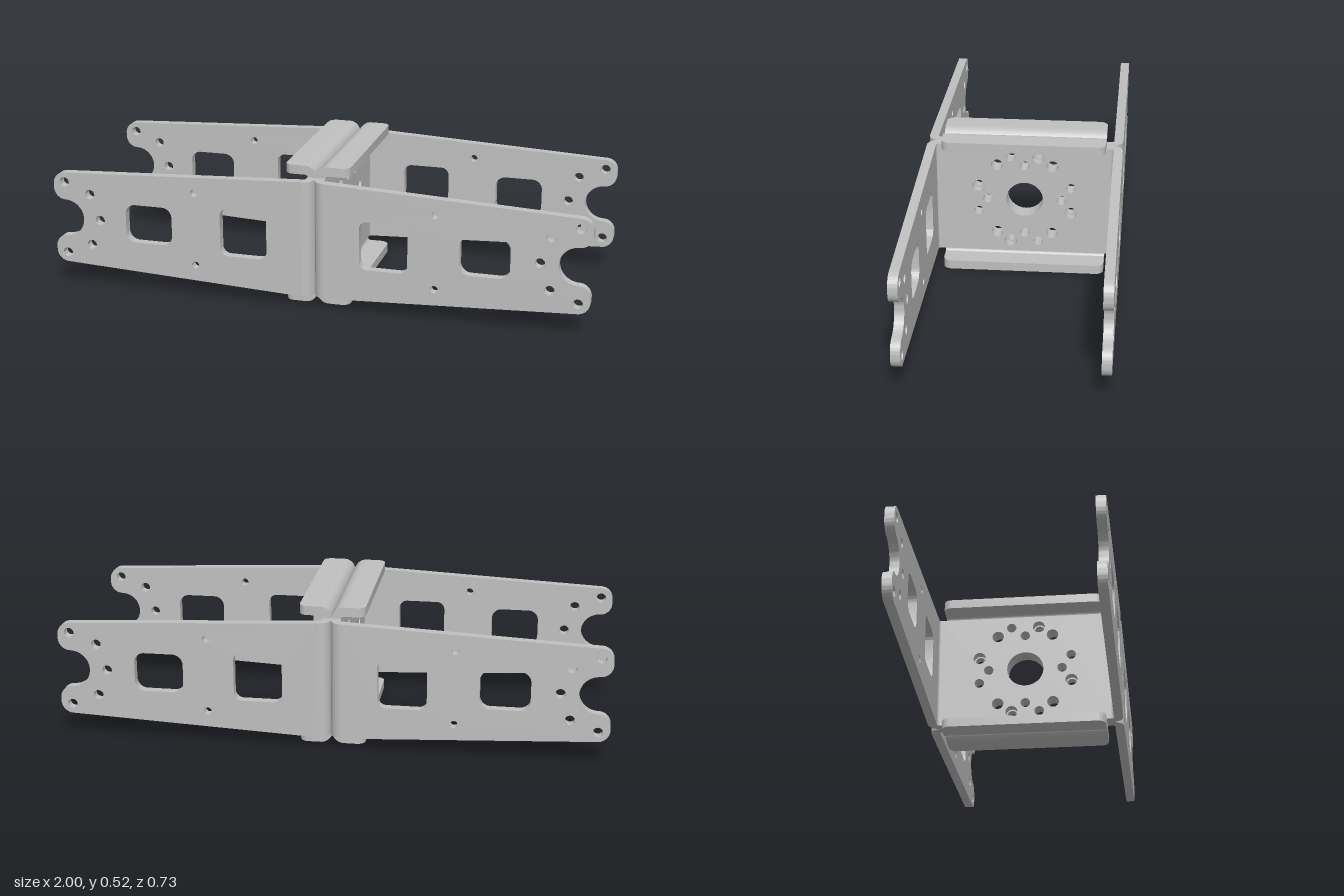
import * as THREE from 'three';
import { toCreasedNormals } from 'three/addons/utils/BufferGeometryUtils.js';

const T = 0.034;              // sheet thickness
const RI = 0.009, R = RI + T; // inner and outer bend radius
const MID = 0.261;            // height of the centre line
const WEB_Y = MID - R, WEB_Z = 0.364 - R;

const steel = new THREE.MeshStandardMaterial({ color: 0xc0c0c0 });
steel.name = 'steel grey';

function extrude(shape, depth) {
  const g = new THREE.ExtrudeGeometry(shape, { depth, bevelEnabled: false, curveSegments: 14 });
  return toCreasedNormals(g, 0.6);
}

function part(name, geometry) {
  const m = new THREE.Mesh(geometry, steel);
  m.name = name;
  return m;
}

function hole(shape, x, y, r) {
  shape.holes.push(new THREE.Path().absarc(x, y, r, 0, Math.PI * 2, true));
}

function roundedRect(path, x0, x1, h, r) {
  const q = Math.PI / 2;
  path.absarc(x1 - r, -h + r, r, -q, 0, false);
  path.absarc(x1 - r, h - r, r, 0, q, false);
  path.absarc(x0 + r, h - r, r, q, 2 * q, false);
  path.absarc(x0 + r, -h + r, r, 2 * q, 3 * q, false);
  path.closePath();
  return path;
}

// Quarter-round fold leading from the web to a plate
function bendGeometry(length) {
  const s = new THREE.Shape();
  s.absarc(R, 0, R, Math.PI, Math.PI / 2, true);
  s.lineTo(R, RI);
  s.absarc(R, 0, RI, Math.PI / 2, Math.PI, false);
  s.closePath();
  return extrude(s, length).translate(0, 0, -length / 2);
}

// Tapered arm with a forked end
function armShape() {
  const q = Math.PI / 2, cx = 0.955, r = 0.045;
  const s = new THREE.Shape();
  s.moveTo(R, -WEB_Y);
  s.lineTo(cx, -0.175);
  s.absarc(cx, -0.13, r, -q, 0, false);
  s.absarc(cx, -0.115, r, 0, q, false);
  s.absarc(cx, 0, 0.07, -q, q, true);
  s.absarc(cx, 0.115, r, -q, 0, false);
  s.absarc(cx, 0.13, r, 0, q, false);
  s.lineTo(R, WEB_Y);
  s.closePath();
  for (const side of [-1, 1]) {
    hole(s, 0.957, side * 0.138, 0.018);
    hole(s, 0.857, side * 0.098, 0.018);
    hole(s, 0.448, side * 0.139, 0.014);
  }
  hole(s, 0.82, 0, 0.018);
  s.holes.push(roundedRect(new THREE.Path(), 0.173, 0.35, 0.091, 0.03));
  s.holes.push(roundedRect(new THREE.Path(), 0.537, 0.717, 0.073, 0.038));
  return s;
}

// Flange with its two free corners rounded
function flangeShape() {
  const w = 0.303, x = 0.12, r = 0.03;
  const s = new THREE.Shape();
  s.moveTo(R, -w);
  s.lineTo(x - r, -w);
  s.absarc(x - r, -w + r, r, -Math.PI / 2, 0, false);
  s.absarc(x - r, w - r, r, 0, Math.PI / 2, false);
  s.lineTo(R, w);
  s.closePath();
  return s;
}

// Web plate with its drilled pattern, shape x running along -z
function webGeometry() {
  const s = new THREE.Shape();
  s.moveTo(-WEB_Z, -WEB_Y);
  s.lineTo(WEB_Z, -WEB_Y);
  s.lineTo(WEB_Z, WEB_Y);
  s.lineTo(-WEB_Z, WEB_Y);
  s.closePath();
  hole(s, 0, 0, 0.069);
  for (const a of [-1, 1]) {
    hole(s, 0, a * 0.139, 0.018);
    hole(s, a * 0.139, 0, 0.018);
    for (const b of [-1, 1]) {
      hole(s, a * 0.104, b * 0.139, 0.022);
      // alternate holes of the outer ring are wider
      hole(s, a * 0.052, b * 0.174, a * b > 0 ? 0.023 : 0.018);
      hole(s, a * 0.174, b * 0.052, a * b < 0 ? 0.023 : 0.018);
    }
  }
  return extrude(s, T).rotateY(Math.PI / 2);
}

// A bend plus the plate it carries, folded outward along +y, then turned about x
function fold(name, shape, length, offset, angle) {
  const g = new THREE.Group();
  g.name = name;
  const plate = extrude(shape, T).rotateX(-Math.PI / 2).translate(0, offset + RI, 0);
  g.add(part(name + 'Bend', bendGeometry(length).translate(0, offset, 0)));
  g.add(part(name + 'Plate', plate));
  g.rotation.x = angle;
  return g;
}

function bracket(name) {
  const g = new THREE.Group();
  g.name = name;
  g.add(part('web', webGeometry()));
  g.add(fold('topFlange', flangeShape(), 0.606, WEB_Y, 0));
  g.add(fold('bottomFlange', flangeShape(), 0.606, WEB_Y, Math.PI));
  g.add(fold('frontArm', armShape(), WEB_Y * 2, WEB_Z, Math.PI / 2));
  g.add(fold('backArm', armShape(), WEB_Y * 2, WEB_Z, -Math.PI / 2));
  g.position.y = MID;
  return g;
}

export function createModel() {
  const model = new THREE.Group();
  model.name = 'doubleBracket';
  // Two identical brackets set back to back
  const left = bracket('leftBracket');
  const right = bracket('rightBracket');
  right.rotation.y = Math.PI;
  model.add(left, right);
  return model;
}
